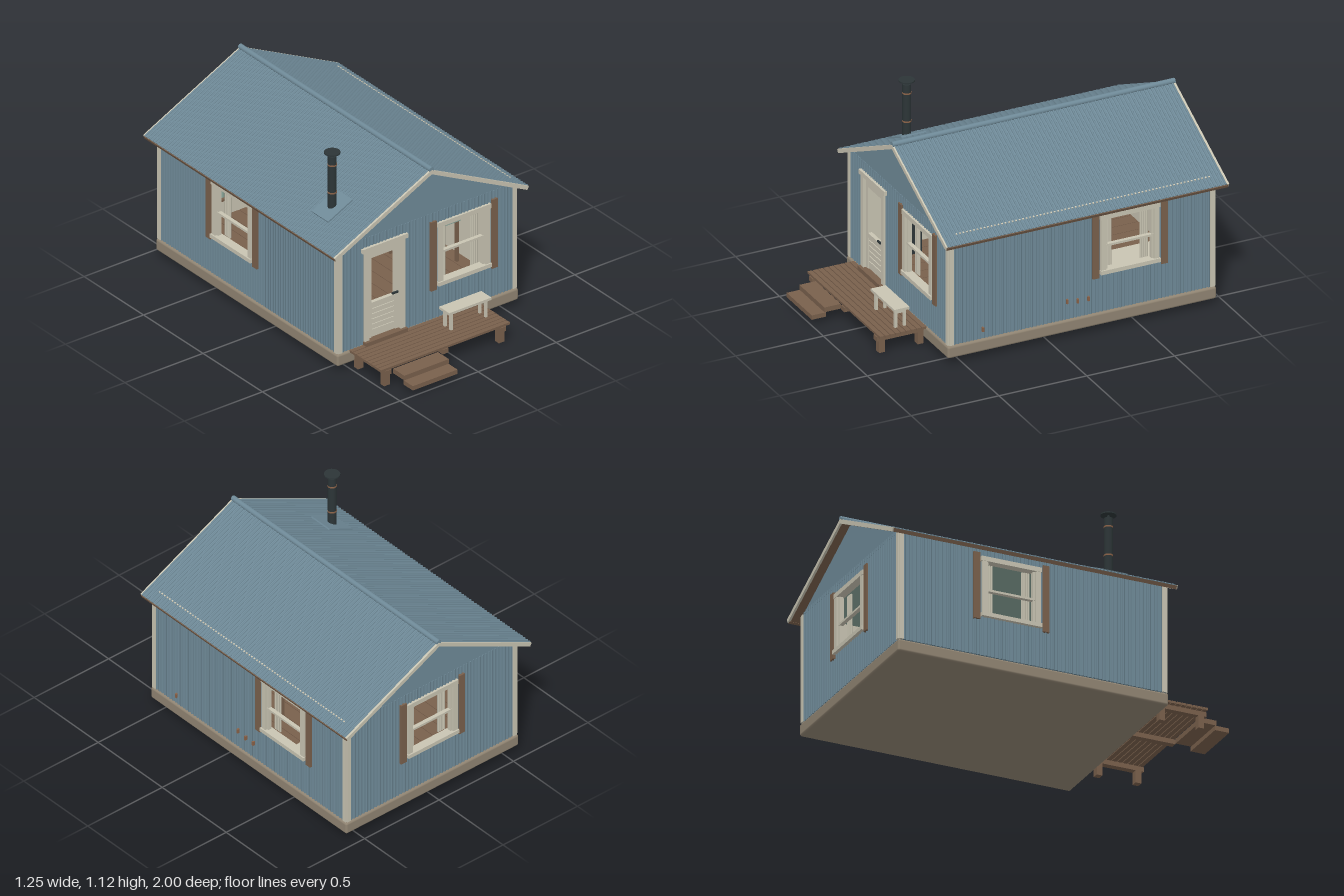
import * as THREE from 'three';
import { mergeGeometries } from 'three/addons/utils/BufferGeometryUtils.js';
import { RoundedBoxGeometry } from 'three/addons/geometries/RoundedBoxGeometry.js';

const mat = (name, color) => {
  const m = new THREE.MeshStandardMaterial({ color });
  m.name = name;
  return m;
};
const blue = mat('blue metal', 0x6f8a98);
const cream = mat('cream paint', 0xc8c4b2);
const brown = mat('brown wood', 0x79604c);
const stone = mat('foundation stone', 0x908472);
const black = mat('black iron', 0x2c3537);
const copper = mat('copper', 0x8a6248);
const sage = mat('sage', 0x8aa69a);

const add = (parent, name, geo, material, x = 0, y = 0, z = 0) => {
  const m = new THREE.Mesh(geo, material);
  m.name = name;
  m.position.set(x, y, z);
  parent.add(m);
  return m;
};
// Box given by its extents on each axis
const box = (parent, name, material, x0, x1, y0, y1, z0, z1) =>
  add(parent, name, new THREE.BoxGeometry(x1 - x0, y1 - y0, z1 - z0), material,
    (x0 + x1) / 2, (y0 + y1) / 2, (z0 + z1) / 2);
const cyl = (parent, name, material, r, y0, y1, x, z, n = 20) =>
  add(parent, name, new THREE.CylinderGeometry(r, r, y1 - y0, n), material, x, (y0 + y1) / 2, z);
const group = (parent, name) => {
  const g = new THREE.Group();
  g.name = name;
  parent.add(g);
  return g;
};

const X = 0.57, Z0 = -0.94, Z1 = 0.57, ZC = (Z0 + Z1) / 2, BASE = 0.107, TOP = 0.709, RIDGE = 1.0;

// Sheet with rectangular openings
function sheet(w, holes, depth) {
  const s = new THREE.Shape([[-w / 2, BASE], [w / 2, BASE], [w / 2, TOP], [-w / 2, TOP]]
    .map(p => new THREE.Vector2(...p)));
  for (const o of holes) s.holes.push(new THREE.Path([[o.c - o.hw, o.y0], [o.c - o.hw, o.y1],
    [o.c + o.hw, o.y1], [o.c + o.hw, o.y0]].map(p => new THREE.Vector2(...p))));
  return new THREE.ExtrudeGeometry(s, { depth, bevelEnabled: false });
}

// Ribbed wall, facing local +z, ribs broken at the openings
function wall(parent, name, w, holes, ribTop) {
  const g = group(parent, name);
  add(g, 'siding', sheet(w, holes, 0.012), blue, 0, 0, -0.012);
  add(g, 'lining', sheet(w - 0.03, holes, 0.016), cream, 0, 0, -0.028);
  const ribs = [];
  const rib = (u, a, b) => ribs.push(new THREE.CylinderGeometry(0.006, 0.006, b - a, 6)
    .translate(u, (a + b) / 2, 0));
  for (let u = -w / 2 + 0.03; u < w / 2 - 0.02; u += 0.021) {
    const o = holes.find(h => Math.abs(u - h.c) < h.hw + 0.012);
    if (!o) rib(u, BASE, ribTop);
    else {
      if (o.y0 > BASE + 0.03) rib(u, BASE, o.y0 - 0.01);
      rib(u, o.y1 + 0.01, ribTop);
    }
  }
  add(g, 'sidingRibs', mergeGeometries(ribs), blue);
  for (const s of [-1, 1]) {
    const e = s * w / 2;
    box(g, 'cornerTrim', cream, Math.min(e, e - s * 0.024), Math.max(e, e - s * 0.024), BASE, TOP, -0.006, 0.008);
  }
  return g;
}

const opening = (c, y0) => ({ c, hw: 0.142, y0, y1: 0.64 });

// Sash window with frame, sill, curtains and shutters
function addWindow(parent, { c, hw, y0, y1 }) {
  const g = group(parent, 'window');
  g.position.x = c;
  for (const s of [-1, 1]) {
    const bar = (name, m, a, b, ...r) => box(g, name, m, Math.min(s * a, s * b), Math.max(s * a, s * b), ...r);
    bar('sideCasing', cream, hw - 0.006, 0.166, y0 - 0.01, y1, -0.028, 0.014);
    bar('sashStile', cream, hw - 0.016, hw, y0, y1, -0.02, 0.002);
    bar('shutter', brown, 0.177, 0.214, y0 - 0.03, y1 + 0.037, 0, 0.014);
    const folds = [];
    for (let i = 0; i < 4; i++) folds.push(new THREE.CylinderGeometry(0.006, 0.006, y1 - y0, 8)
      .translate(s * (0.122 - i * 0.012), (y0 + y1) / 2, -0.045));
    add(g, 'curtain', mergeGeometries(folds), cream);
  }
  box(g, 'headCasing', cream, -0.17, 0.17, y1 - 0.006, y1 + 0.02, -0.028, 0.016);
  box(g, 'sill', cream, -0.17, 0.17, y0 - 0.012, y0 + 0.01, -0.028, 0.022);
  box(g, 'meetingRail', cream, -hw, hw, 0.472, 0.484, -0.018, 0.004);
}

function addDoor(parent, { c, hw, y0, y1 }) {
  const g = group(parent, 'door');
  g.position.x = c;
  for (const s of [-1, 1]) {
    box(g, 'doorCasing', cream, s * 0.115 - 0.015, s * 0.115 + 0.015, y0, y1, -0.028, 0.014);
    box(g, 'doorStile', cream, s * 0.09 - 0.013, s * 0.09 + 0.013, 0.127, y1 - 0.008, -0.024, -0.002);
  }
  box(g, 'headCasing', cream, -0.145, 0.145, y1, y1 + 0.025, -0.02, 0.018);
  box(g, 'topRail', cream, -0.08, 0.08, 0.592, y1 - 0.008, -0.024, -0.002);
  box(g, 'lowerPanel', cream, -0.08, 0.08, 0.127, 0.32, -0.024, -0.008);
  box(g, 'lockRail', cream, -0.08, 0.08, 0.305, 0.33, -0.024, -0.002);
  for (let i = 0; i < 5; i++)
    box(g, 'panelSlat', cream, -0.07, 0.07, 0.15 + i * 0.03, 0.172 + i * 0.03, -0.01, -0.003);
  box(g, 'handle', black, 0.05, 0.088, 0.341, 0.35, 0.002, 0.012);
  box(g, 'threshold', brown, -0.135, 0.135, 0.107, 0.126, -0.03, 0.03);
}

// Half roof: local +x runs down the slope
function roofSide(parent, side) {
  const run = 0.62, drop = 0.305, L = Math.hypot(run, drop), zm = -0.195, len = 1.6;
  const g = group(parent, 'roofSlope');
  g.position.set(0, RIDGE, zm);
  if (side < 0) g.rotation.y = Math.PI;
  const p = group(g, 'slopePanel');
  p.rotation.z = -Math.atan2(drop, run);
  const h = len / 2;
  box(p, 'roofDeck', brown, 0, L - 0.004, -0.016, -0.004, -h + 0.004, h - 0.004);
  box(p, 'roofSheet', blue, 0, L, -0.004, 0.002, -h, h);
  const ribs = [];
  for (let z = -h + 0.012; z < h; z += 0.02)
    ribs.push(new THREE.CylinderGeometry(0.006, 0.006, L, 6).rotateZ(Math.PI / 2).translate(L / 2, 0.002, z));
  add(p, 'roofRibs', mergeGeometries(ribs), blue);
  for (const s of [-1, 1])
    box(p, 'rakeBoard', cream, 0, L, -0.018, 0.004, s * h - 0.006, s * h + 0.006);
  box(p, 'eaveFascia', brown, L - 0.01, L + 0.004, -0.018, 0.001, -h, h);
  // Row of fasteners on one slope
  if (side > 0) {
    const dots = [];
    for (let z = -0.72; z < 0.73; z += 0.02)
      dots.push(new THREE.BoxGeometry(0.008, 0.004, 0.008).translate(0.625, 0.009, z));
    add(p, 'roofFasteners', mergeGeometries(dots), cream);
  }
}

function addDeck(parent) {
  const g = group(parent, 'porch');
  for (let i = 0; i < 9; i++)
    box(g, 'deckBoard', brown, -0.5, 0.325, 0.094, 0.107, 0.575 + i * 0.03, 0.6 + i * 0.03);
  for (const x of [-0.455, -0.09, 0.28]) box(g, 'joist', brown, x - 0.018, x + 0.018, 0.068, 0.094, 0.58, 0.845);
  for (const x of [-0.455, 0.28]) for (const z of [0.595, 0.815])
    box(g, 'deckPost', brown, x - 0.018, x + 0.018, 0, 0.07, z - 0.016, z + 0.016);
  box(g, 'upperStep', brown, -0.418, -0.132, 0.06, 0.087, 0.835, 0.928);
  box(g, 'lowerStep', brown, -0.418, -0.132, 0.033, 0.058, 0.92, 1.0);
  // Bench
  box(g, 'benchSeat', cream, 0.015, 0.285, 0.205, 0.219, 0.652, 0.738);
  for (const x of [0.04, 0.262]) {
    for (const z of [0.67, 0.72]) box(g, 'benchLeg', cream, x - 0.007, x + 0.007, 0.107, 0.206, z - 0.007, z + 0.007);
    box(g, 'benchRail', cream, x - 0.005, x + 0.005, 0.185, 0.2, 0.67, 0.72);
  }
}

function addInterior(parent) {
  const g = group(parent, 'interior');
  for (let i = 0; i < 14; i++)
    box(g, 'floorBoard', brown, -0.54 + i * 0.0775, -0.466 + i * 0.0775, 0.106, 0.116, Z0 + 0.03, Z1 - 0.03);
  box(g, 'ceiling', sage, -0.54, 0.54, 0.7, 0.706, Z0 + 0.03, Z1 - 0.03);
  // Stove
  box(g, 'stoveBody', black, -0.475, -0.355, 0.15, 0.32, 0.26, 0.38);
  box(g, 'stoveTop', black, -0.485, -0.345, 0.32, 0.332, 0.25, 0.39);
  for (const x of [-0.46, -0.37]) for (const z of [0.275, 0.365]) cyl(g, 'stoveLeg', black, 0.007, 0.116, 0.15, x, z, 8);
  // Table and wall shelf
  box(g, 'tableTop', sage, 0.25, 0.5, 0.355, 0.368, -0.1, 0.2);
  for (const x of [0.265, 0.485]) for (const z of [-0.085, 0.185])
    box(g, 'tableLeg', brown, x - 0.008, x + 0.008, 0.116, 0.355, z - 0.008, z + 0.008);
  box(g, 'shelf', brown, -0.54, -0.46, 0.51, 0.522, -0.62, -0.47);
  for (const z of [-0.58, -0.54, -0.5]) cyl(g, 'jar', sage, 0.014, 0.522, 0.58, -0.5, z, 10);
  // Bed
  box(g, 'bedFrame', brown, 0.2, 0.53, 0.15, 0.2, -0.9, -0.4);
  box(g, 'mattress', cream, 0.21, 0.52, 0.2, 0.24, -0.89, -0.41);
}

function addChimney(parent) {
  const g = group(parent, 'chimney'), x = -0.415, z = 0.318;
  cyl(g, 'fluePipe', black, 0.023, 0.33, 1.1, x, z);
  for (const y of [0.89, 1.05]) cyl(g, 'flueBand', copper, 0.0245, y - 0.004, y + 0.004, x, z);
  cyl(g, 'capStem', black, 0.008, 1.1, 1.118, x, z, 10);
  cyl(g, 'rainCap', black, 0.042, 1.116, 1.123, x, z);
  const f = add(g, 'flashing', new THREE.BoxGeometry(0.175, 0.008, 0.14), blue, x, RIDGE - 0.415 * 0.492 + 0.011, z);
  f.rotation.z = Math.atan2(0.305, 0.62);
}

export function createModel() {
  const root = new THREE.Group();
  root.name = 'cabin';
  add(root, 'foundation', new RoundedBoxGeometry(1.16, 0.068, 1.53, 3, 0.012), stone, 0, 0.069, ZC);

  // Front, back and side walls with their openings
  const frontWin = opening(0.23, 0.305), door = { c: -0.278, hw: 0.11, y0: 0.109, y1: 0.645 };
  const front = wall(root, 'frontWall', 2 * X, [door, frontWin], 0.725);
  front.position.z = Z1;
  addWindow(front, frontWin);
  addDoor(front, door);
  const others = [['backWall', 2 * X, opening(0, 0.335), 0, Z0, Math.PI, 0.725],
    ['leftWall', Z1 - Z0, opening(0.272, 0.335), X, ZC, Math.PI / 2, 0.705],
    ['rightWall', Z1 - Z0, opening(-0.125, 0.335), -X, ZC, -Math.PI / 2, 0.705]];
  for (const [name, w, o, x, z, turn, ribTop] of others) {
    const g = wall(root, name, w, [o], ribTop);
    g.position.set(x, 0, z);
    g.rotation.y = turn;
    addWindow(g, o);
  }
  // Smooth gables
  const tri = new THREE.Shape([[-X, TOP], [X, TOP], [0, 0.986]].map(p => new THREE.Vector2(...p)));
  for (const z of [Z0 - 0.002, Z1 - 0.01])
    add(root, 'gable', new THREE.ExtrudeGeometry(tri, { depth: 0.012, bevelEnabled: false }), blue, 0, 0, z);
  // Small pipe fittings low on the left wall
  for (const [z, y] of [[-0.1, 0.21], [-0.16, 0.2], [-0.22, 0.2], [0.38, 0.16]])
    box(root, 'pipeFitting', copper, X, X + 0.014, y - 0.012, y + 0.012, z - 0.005, z + 0.005);

  for (const s of [-1, 1]) roofSide(root, s);
  add(root, 'ridgeCap', new THREE.CylinderGeometry(0.015, 0.015, 1.61, 12).rotateX(Math.PI / 2), blue, 0, 1.006, -0.195);
  addChimney(root);
  addDeck(root);
  addInterior(root);
  return root;
}
